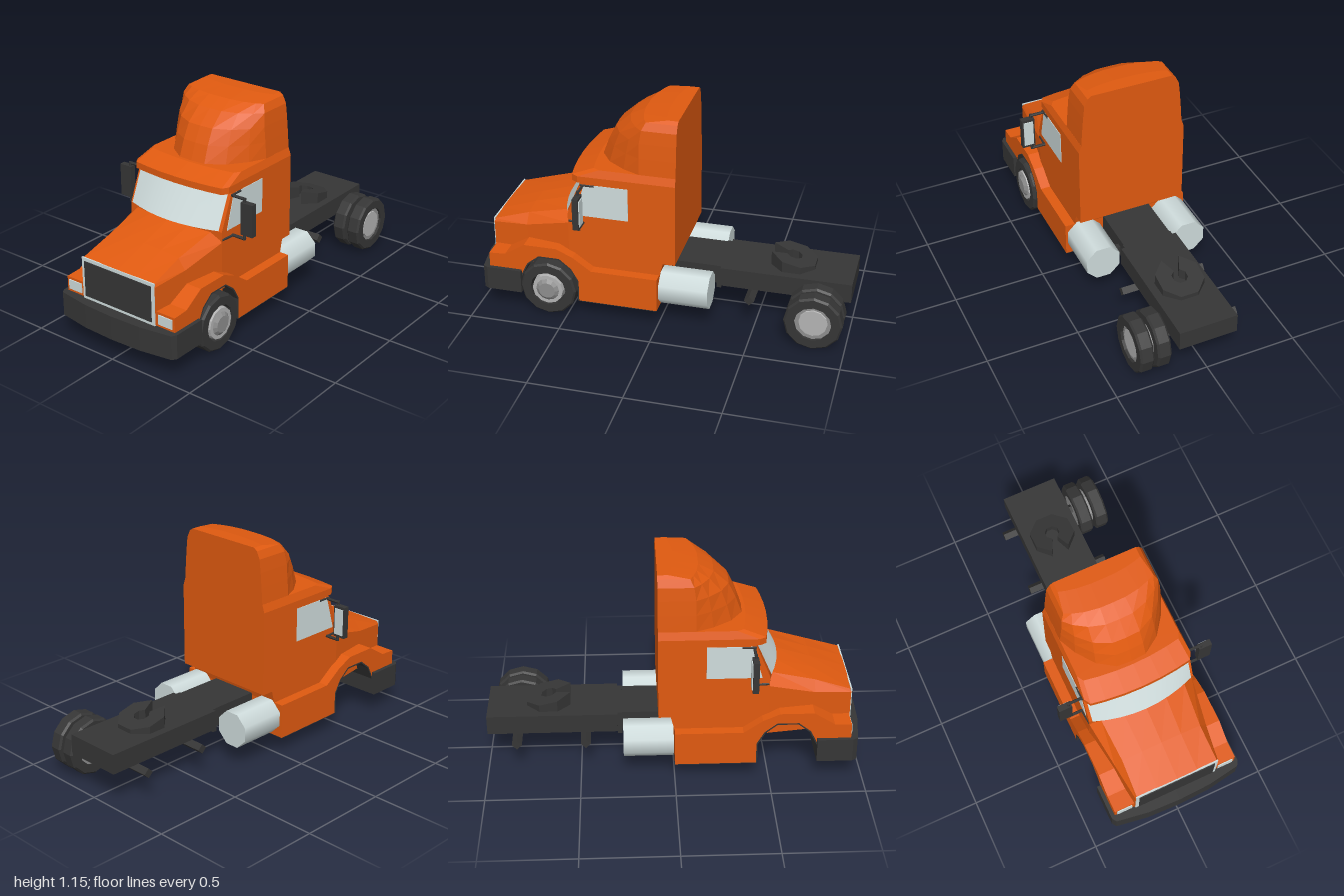
import * as THREE from 'three';

const paint = (name, color) => Object.assign(new THREE.MeshStandardMaterial({ color }), { name });

export function createModel() {
  const orange = paint('orange paint', 0xe05a10);
  const dark = paint('dark plastic', 0x363636);
  const glass = paint('pale glass', 0xcfdcdc);
  glass.side = THREE.DoubleSide;
  const rimGrey = paint('rim grey', 0xb4b4b4);
  const hubGrey = paint('hub grey', 0x8e8e8e);

  const truck = new THREE.Group();
  truck.name = 'truck';

  const add = (name, geometry, material) => {
    const mesh = new THREE.Mesh(geometry, material);
    mesh.name = name;
    truck.add(mesh);
    return mesh;
  };
  const faceted = (g) => {
    const flat = g.index ? g.toNonIndexed() : g;
    flat.computeVertexNormals();
    return flat;
  };
  // box from its minimum and maximum corners
  const block = (name, x0, x1, y0, y1, z0, z1, material) =>
    add(name, new THREE.BoxGeometry(x1 - x0, y1 - y0, z1 - z0)
      .translate((x0 + x1) / 2, (y0 + y1) / 2, (z0 + z1) / 2), material);
  // side profile of [z, y] points extruded across x
  const extrudeX = (points, width) =>
    new THREE.ExtrudeGeometry(new THREE.Shape(points.map(p => new THREE.Vector2(...p))),
      { depth: width, bevelEnabled: false }).translate(0, 0, -width / 2).rotateY(-Math.PI / 2);
  // mirror a half contour (counter-clockwise, starting on the centre line)
  const mirrored = (half) => half.concat(
    half.filter(p => p[0] > 0).reverse().map(([x, y, z]) => [-x, y, z]));
  // closed skin through matching rings, with capped ends
  const loft = (rings) => {
    const out = [];
    const n = rings[0].length;
    for (let i = 0; i < rings.length - 1; i++) {
      for (let j = 0; j < n; j++) {
        const k = (j + 1) % n;
        const [a, b, c, d] = [rings[i][j], rings[i][k], rings[i + 1][k], rings[i + 1][j]];
        out.push(...a, ...b, ...c, ...a, ...c, ...d);
      }
    }
    [rings[0], rings[rings.length - 1]].forEach((ring, end) => {
      const mid = [0, 1, 2].map(c => ring.reduce((s, p) => s + p[c], 0) / n);
      for (let j = 0; j < n; j++) {
        const a = ring[j], b = ring[(j + 1) % n];
        out.push(...mid, ...(end ? a : b), ...(end ? b : a));
      }
    });
    const g = new THREE.BufferGeometry();
    g.setAttribute('position', new THREE.Float32BufferAttribute(out, 3));
    g.computeVertexNormals();
    return g;
  };
  const rod = (name, a, b, radius, sides, material) => {
    const from = new THREE.Vector3(...a), to = new THREE.Vector3(...b);
    const dir = to.clone().sub(from);
    const mesh = add(name, faceted(new THREE.CylinderGeometry(radius, radius, dir.length(), sides)), material);
    mesh.position.copy(from).add(to).multiplyScalar(0.5);
    mesh.quaternion.setFromUnitVectors(new THREE.Vector3(0, 1, 0), dir.normalize());
  };

  // skirt and front fenders with a wheel arch, lined in dark
  const arch = [[0.43, 0.1], [0.43, 0.22], [0.47, 0.29], [0.535, 0.342],
    [0.65, 0.342], [0.715, 0.29], [0.755, 0.21]];
  add('skirtAndFenders', extrudeX([[0, 0.1], ...arch, [0.93, 0.21], [0.93, 0.325], [0.84, 0.33],
    [0.73, 0.4], [0.55, 0.4], [0.46, 0.36], [0.36, 0.29], [0, 0.29]], 0.71), orange);
  const inner = arch.map(([z, y]) => [0.593 + (z - 0.593) * 0.96, 0.1 + (y - 0.1) * 0.97]);
  add('archLiner', extrudeX([...arch, ...inner.reverse()], 0.712), dark);
  block('cabFloor', -0.354, 0.354, 0.096, 0.104, 0.002, 0.43, dark);

  // cab and sleeper
  add('cab', extrudeX([[0, 0.28], [0.495, 0.28], [0.495, 0.595], [0.41, 0.8], [-0.085, 0.8],
    [-0.085, 0.36], [-0.02, 0.36]], 0.6), orange);

  // hood, widening towards the windshield
  const hood = [[0.49, 0.3, 0.54, 0.24, 0.588, 0.602, 0.06], [0.74, 0.265, 0.475, 0.225, 0.53, 0.543, 0],
    [0.935, 0.24, 0.455, 0.232, 0.47, 0.476, 0]];
  add('hood', loft(hood.map(([z, w, yShoulder, xEdge, yEdge, yTop, bow]) => mirrored(
    [[0, 0.25], [w, 0.25], [w, yShoulder], [xEdge, yEdge], [xEdge / 2, (yEdge + 3 * yTop) / 4], [0, yTop]]
      .map(([x, y]) => [x, y, z + bow * (1 - (x / w) ** 2)])))), orange);

  // roof with a bowed sun visor
  const roof = [[0.785, 0.3, 0.495, 0.465], [0.82, 0.3, 0.495, 0.465], [0.862, 0.286, 0.38, 0.35]];
  add('roofAndVisor', loft(roof.map(([y, w, zMid, zSide]) => mirrored(
    [...[0, 0.33, 0.67, 0.93].map(u => [u * w, y, zMid - (zMid - zSide) * u * u]),
      [w, y, zSide - 0.03], [w, y, -0.085]]))), orange);

  // tall wind fairing
  const fairing = [[0.855, 0.286, 0.365, 0.11], [0.95, 0.279, 0.33, 0.11], [1.03, 0.272, 0.29, 0.11],
    [1.1, 0.264, 0.21, 0.1], [1.14, 0.245, 0.13, 0.08], [1.155, 0.225, 0.0, -0.03]];
  add('windFairing', loft(fairing.map(([y, w, zMid, zSide]) => mirrored(
    [[0, 1], [0.28, 0.98], [0.6, 0.74], [0.85, 0.36], [1, 0]]
      .map(([u, t]) => [u * w, y, zSide + t * (zMid - zSide)]).concat([[w, y, -0.085]])))), orange);

  // curved windshield
  const pane = new THREE.PlaneGeometry(0.57, 1, 8, 1);
  const pos = pane.attributes.position;
  for (let i = 0; i < pos.count; i++) {
    const u = (pos.getX(i) / 0.285) ** 2;
    if (pos.getY(i) > 0) pos.setXYZ(i, pos.getX(i), 0.787, 0.447 - 0.025 * u);
    else pos.setXYZ(i, pos.getX(i), 0.602, 0.556 - 0.054 * u);
  }
  pane.computeVertexNormals();
  add('windshield', pane, glass);

  // bumper and grille
  add('bumper', loft([0.113, 0.245].map(y => mirrored(
    [[0, 1], [0.18, 0.993], [0.36, 0.965], [0.376, 0.94], [0.376, 0.75]].map(([x, z]) => [x, y, z])))), dark);
  block('grilleFrame', -0.237, 0.237, 0.245, 0.475, 0.932, 0.94, glass);
  block('grille', -0.218, 0.218, 0.263, 0.457, 0.937, 0.945, dark);

  for (const s of [-1, 1]) {
    // headlights, side windows and fuel tanks
    block('headlight', s * 0.298 - 0.043, s * 0.298 + 0.043, 0.26, 0.312, 0.928, 0.936, glass);
    add('sideWindow', extrudeX([[0.165, 0.592], [0.455, 0.592], [0.4, 0.777], [0.165, 0.777]], 0.006)
      .translate(s * 0.3, 0, 0), glass);
    add('fuelTank', new THREE.CylinderGeometry(0.102, 0.102, 0.265, 8).rotateY(Math.PI / 8)
      .rotateX(Math.PI / 2).translate(s * 0.25, 0.21, -0.138), glass);
    block('tankBracket', s * 0.145 - 0.02, s * 0.145 + 0.02, 0.2, 0.25, -0.235, -0.205, dark);

    // mirrors on bent arms
    block('mirror', s * 0.398 - 0.036, s * 0.398 + 0.036, 0.577, 0.753, 0.392, 0.424, dark);
    block('mirrorGlass', s * 0.398 - 0.027, s * 0.398 + 0.027, 0.592, 0.738, 0.387, 0.393, glass);
    rod('mirrorArm', [s * 0.295, 0.768, 0.408], [s * 0.382, 0.768, 0.408], 0.008, 6, dark);
    rod('mirrorArm', [s * 0.302, 0.772, 0.345], [s * 0.302, 0.772, 0.42], 0.006, 6, dark);
    rod('mirrorArm', [s * 0.298, 0.552, 0.49], [s * 0.305, 0.552, 0.41], 0.007, 6, dark);
    rod('mirrorArm', [s * 0.3, 0.552, 0.41], [s * 0.382, 0.552, 0.41], 0.008, 6, dark);
    rod('mirrorPost', [s * 0.376, 0.546, 0.41], [s * 0.376, 0.775, 0.41], 0.008, 6, dark);
  }

  // chassis
  block('rearFrame', -0.16, 0.16, 0.19, 0.297, -1, -0.3, dark);
  block('frontFrame', -0.135, 0.135, 0.25, 0.295, -0.3, 0.02, dark);
  block('crossMember', -0.14, 0.14, 0.165, 0.297, -0.3, -0.275, dark);
  for (const x of [-0.12, -0.042, 0.042, 0.12])
    block('frameRail', x - 0.015, x + 0.015, 0.19, 0.26, -0.29, 0.02, dark);
  for (const z of [-0.84, -0.472])
    rod('axle', [-0.237, 0.165, z], [0.237, 0.165, z], 0.027, 4, dark);

  // coupling plate: a sloped horseshoe
  const ring = (r) => Array.from({ length: 8 }, (_, i) => {
    const a = (112.5 + i * 45) * Math.PI / 180;
    return new THREE.Vector2(r * Math.cos(a), r * Math.sin(a));
  });
  const plate = new THREE.ExtrudeGeometry(new THREE.Shape([...ring(0.127), ...ring(0.042).reverse()]),
    { depth: 1, bevelEnabled: false }).rotateX(Math.PI / 2).translate(0, 0, -0.67);
  const pp = plate.attributes.position;
  for (let i = 0; i < pp.count; i++)
    pp.setY(i, pp.getY(i) < -0.5 ? 0.29 : 0.32 + (pp.getZ(i) + 0.787) * 0.235);
  plate.computeVertexNormals();
  add('couplingPlate', plate, dark);

  // wheels, on the left side only
  const toX = (g, x, z) => faceted(g.rotateZ(-Math.PI / 2).translate(x, 0.155, z));
  const tyre = (x0, x1, z) => {
    const w = x1 - x0;
    const profile = [[0.098, 0], [0.145, 0], [0.155, 0.01], [0.155, w - 0.01], [0.145, w], [0.098, w], [0.098, 0]];
    add('tyre', toX(new THREE.LatheGeometry(profile.map(p => new THREE.Vector2(...p)), 12), x0, z), dark);
  };
  const disc = (name, rIn, rOut, x0, x1, z, material) =>
    add(name, toX(new THREE.CylinderGeometry(rOut, rIn, x1 - x0, 12), (x0 + x1) / 2, z), material);
  tyre(0.19, 0.37, 0.6);
  disc('frontRim', 0.1, 0.085, 0.195, 0.374, 0.6, rimGrey);
  disc('frontHub', 0.07, 0.045, 0.37, 0.388, 0.6, hubGrey);
  tyre(0.19, 0.265, -0.83);
  tyre(0.285, 0.36, -0.83);
  disc('rearRim', 0.099, 0.099, 0.195, 0.345, -0.83, hubGrey);
  disc('rearHub', 0.08, 0.075, 0.34, 0.35, -0.83, rimGrey);

  return truck;
}
